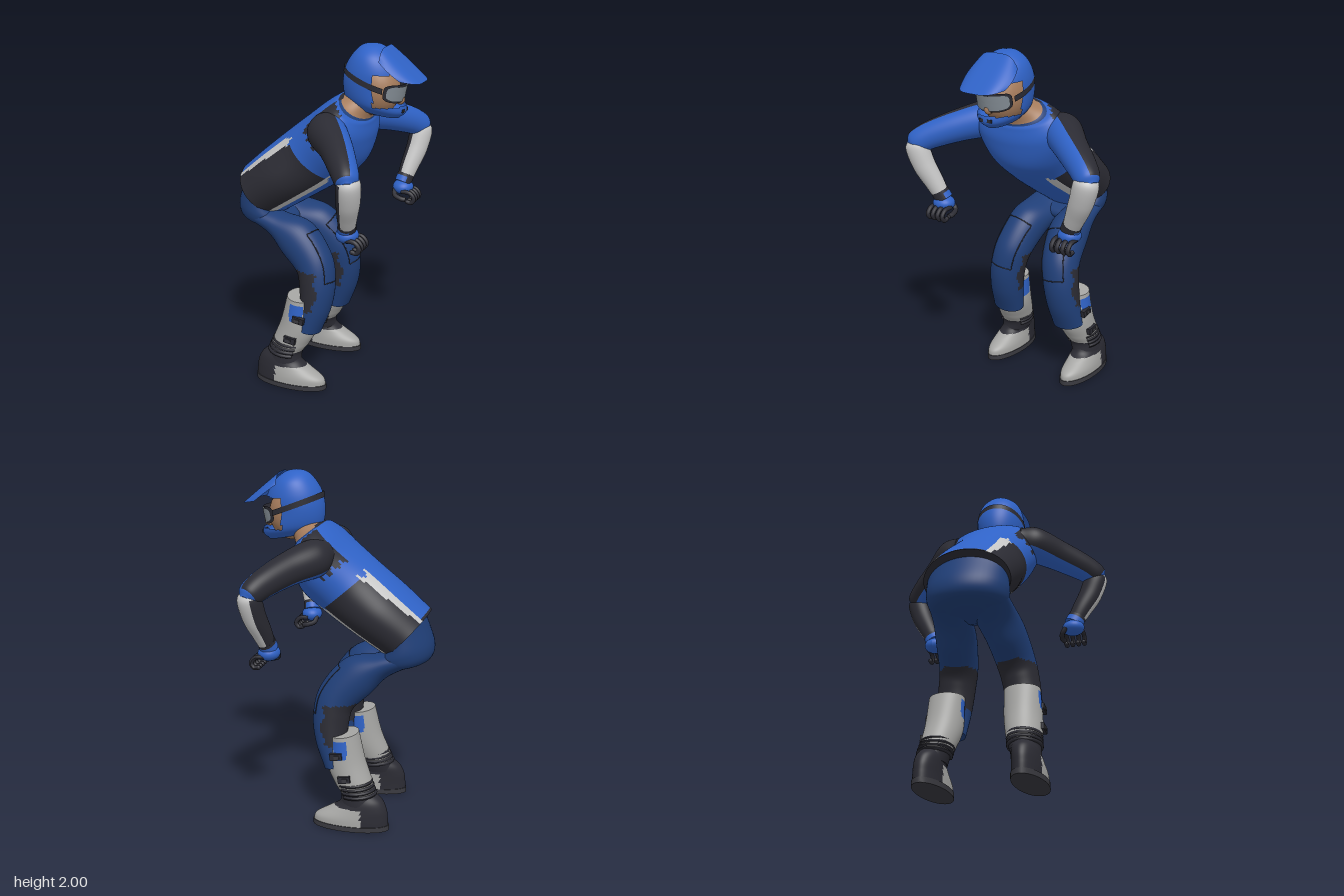
import * as THREE from 'three';

const V = (x, y, z) => new THREE.Vector3(x, y, z);
const PALETTE = {
  blue: 0x2f62c6, navy: 0x203f78, black: 0x2b2b33, lightGrey: 0xc6c6c6, bootGrey: 0xa6a6a4,
  lensGrey: 0x858e96, skin: 0xa67c5c, soleGrey: 0x3a3a40,
};

// Sections given by their rear and front points: [rearX, rearY, frontX, frontY, halfWidth, z]
const pairs = rows => rows.map(([bx, by, fx, fy, w, z = 0]) => ({
  c: V((bx + fx) / 2, (by + fy) / 2, z), u: V((fx - bx) / 2, (fy - by) / 2, 0), v: V(0, 0, -w),
}));

// Limb sections square to the path: [x, y, z, depthRadius, widthRadius]
function limb(rows) {
  const pts = rows.map(r => V(r[0], r[1], r[2]));
  return rows.map((r, i) => {
    const t = pts[Math.min(i + 1, pts.length - 1)].clone().sub(pts[Math.max(i - 1, 0)]).normalize();
    const u = V(1, 0, 0).addScaledVector(t, -t.x).normalize();
    const v = t.clone().cross(u);
    return { c: pts[i], u: u.multiplyScalar(r[3]), v: v.multiplyScalar(r[4]) };
  });
}

// Smooth surface through sections: t counts sections, a = 0 points forward
function surface(sections) {
  const [c, u, v] = ['c', 'u', 'v'].map(k => new THREE.CatmullRomCurve3(sections.map(s => s[k]), false, 'catmullrom'));
  const n = sections.length - 1;
  return (t, a) => c.getPoint(t / n).addScaledVector(u.getPoint(t / n), Math.cos(a)).addScaledVector(v.getPoint(t / n), Math.sin(a));
}

// Loft; pick(t, a, point) gives each face a material index, or -1 for a hole
function loft(sections, { rows = 32, segs = 48, pick = () => 0, capped = true } = {}) {
  const f = surface(sections), n = sections.length - 1, pos = [], buckets = {};
  const angle = j => (j / segs) * Math.PI * 2;
  const put = (m, ...ids) => (buckets[m] ??= []).push(...ids);
  for (let i = 0; i <= rows; i++) for (let j = 0; j < segs; j++) pos.push(...f((i / rows) * n, angle(j)).toArray());
  for (let i = 0; i < rows; i++) for (let j = 0; j < segs; j++) {
    const t = ((i + 0.5) / rows) * n, a = angle(j + 0.5);
    const m = pick(t, a, f(t, a));
    if (m < 0) continue;
    const k = (j + 1) % segs, p = i * segs + j, q = i * segs + k;
    put(m, p, q, q + segs, p, q + segs, p + segs);
  }
  if (capped) for (const end of [0, n]) {
    const base = pos.length / 3, m = Math.max(0, pick(end, Math.PI / 2, f(end, Math.PI / 2)));
    for (let j = 0; j < segs; j++) pos.push(...f(end, angle(j)).toArray());
    pos.push(...sections[end].c.toArray());
    for (let j = 0; j < segs; j++) {
      const a = base + j, b = base + (j + 1) % segs;
      if (end) put(m, a, b, base + segs); else put(m, b, a, base + segs);
    }
  }
  const g = new THREE.BufferGeometry(), index = [];
  for (const m in buckets) {
    g.addGroup(index.length, buckets[m].length, +m);
    for (const id of buckets[m]) index.push(id);
  }
  g.setAttribute('position', new THREE.Float32BufferAttribute(pos, 3));
  g.setIndex(index);
  g.computeVertexNormals();
  return g;
}

function mirrored(g) {
  const m = g.clone(), p = m.attributes.position, idx = m.index.array;
  for (let i = 0; i < p.count; i++) p.setZ(i, -p.getZ(i));
  for (let i = 0; i < idx.length; i += 3) [idx[i], idx[i + 1]] = [idx[i + 1], idx[i]];
  m.computeVertexNormals();
  return m;
}

// Move each vertex of a geometry by a rule
function reshape(g, rule) {
  const p = g.attributes.position;
  for (let i = 0; i < p.count; i++) p.setXYZ(i, ...rule(p.getX(i), p.getY(i)));
  g.computeVertexNormals();
  return g;
}

export function createModel() {
  const model = new THREE.Group();
  model.name = 'crouchingRider';
  const M = {};
  for (const k in PALETTE) {
    M[k] = new THREE.MeshStandardMaterial({ color: PALETTE[k], side: THREE.DoubleSide });
    M[k].name = k;
  }
  const add = (name, g, ...mats) => {
    const mesh = new THREE.Mesh(g, mats.length > 1 ? mats : mats[0]);
    mesh.name = name;
    model.add(mesh);
  };
  const addPair = (name, g, ...mats) => {
    add(name + 'A', g, ...mats);
    add(name + 'B', mirrored(g), ...mats);
  };
  const ball = (x, y, z, rx, ry, rz) => new THREE.SphereGeometry(1, 28, 20).scale(rx, ry, rz).translate(x, y, z);
  const tube = (pts, r, closed = false) =>
    new THREE.TubeGeometry(new THREE.CatmullRomCurve3(pts, closed, 'catmullrom'), pts.length * 6, r, 8, closed);

  // Jersey with side panels, stripes, shoulder patches, collar and bare neck
  add('jersey', loft(pairs([
    [-0.52, 1.23, -0.28, 0.975, 0.25], [-0.38, 1.355, -0.1, 1.09, 0.265], [-0.23, 1.48, 0.08, 1.21, 0.245],
    [-0.1, 1.585, 0.21, 1.33, 0.272], [0.0, 1.665, 0.255, 1.47, 0.295], [0.07, 1.71, 0.255, 1.56, 0.235],
    [0.1, 1.715, 0.25, 1.595, 0.16], [0.14, 1.74, 0.29, 1.68, 0.085],
  ]), {
    rows: 84, segs: 96,
    pick: (t, a) => {
      const s = Math.abs(Math.sin(a)), c = Math.cos(a), jag = 0.12 * Math.sin(a * 23);
      const inner = c < 0 ? 0.53 + 0.02 * t : 0.53, outer = c < 0 ? 0.66 + 0.06 * t : 0.69;
      if (t > 5.5 && t < 6.2 && c < -0.75) return 1;
      if (t > 5.9) return 4;
      if (t > 5.55) return 3;
      if (t < 0.1 && c < -0.83) return 1;
      if (s > outer && t < 2.05) return 1;
      if (s > inner && s <= outer && t < 2.1 + jag) return 2;
      if (s > 0.66 && c < 0 && t > 2.85 + jag && t < 5.2 + jag) return 1;
      return 0;
    },
  }), M.blue, M.black, M.lightGrey, M.navy, M.skin);

  // Trousers: seat and two bent legs
  add('trouserSeat', loft(pairs([
    [-0.45, 0.925, -0.28, 0.89, 0.1], [-0.53, 0.965, -0.21, 0.915, 0.2], [-0.545, 1.05, -0.21, 0.955, 0.235], [-0.49, 1.2, -0.27, 0.99, 0.235],
  ])), M.navy);
  const leg = limb([
    [-0.4, 0.985, 0.12, 0.055, 0.105], [-0.27, 0.935, 0.125, 0.075, 0.115], [-0.14, 0.87, 0.145, 0.122, 0.115],
    [-0.025, 0.745, 0.17, 0.114, 0.11], [0.005, 0.63, 0.19, 0.105, 0.105], [0.0, 0.5, 0.205, 0.092, 0.102],
    [-0.035, 0.35, 0.22, 0.07, 0.098],
  ]);
  addPair('trouserLeg', loft(leg, {
    rows: 60,
    pick: (t, a, p) => (p.y < 0.72 && p.y > 0.49 && t > 2.7 && Math.cos(a) < 0.3 + 0.12 * Math.sin(p.y * 45) ? 1 : 0),
  }), M.navy, M.black);
  const legAt = surface(leg), seam = [];
  for (let i = 0; i < 32; i++) {
    const e = i % 8 / 8, k = Math.floor(i / 8);
    const [x, y] = [[e, 0], [1, e], [1 - e, 1], [0, 1 - e]][k];
    seam.push(legAt(2.25 + 1.65 * y, -0.75 + 1.5 * x));
  }
  addPair('kneePanelSeam', tube(seam, 0.003, true), M.black);

  // Boots: shaft, foot, sole, ankle ribs and buckles
  addPair('bootShaft', loft(pairs([
    [-0.29, 0.15, -0.07, 0.14, 0.08, 0.262], [-0.265, 0.22, -0.07, 0.2, 0.088, 0.25], [-0.245, 0.28, -0.03, 0.26, 0.098, 0.24],
    [-0.2, 0.4, 0.012, 0.36, 0.106, 0.226], [-0.16, 0.56, 0.0, 0.54, 0.102, 0.218],
  ]), {
    rows: 60, segs: 72,
    pick: (t, a, p) => (p.y < 0.215 ? 1 : Math.abs(p.z - 0.22) > 0.03 && p.y > 0.42 && p.y < 0.525 && p.x > -0.115 && p.x < -0.035 ? 2 : 0),
  }), M.bootGrey, M.black, M.blue);
  addPair('bootFoot', loft(pairs([
    [-0.348, 0.025, 0.088, 0.025, 0.086, 0.27], [-0.345, 0.07, 0.075, 0.065, 0.085, 0.27], [-0.338, 0.12, 0.0, 0.11, 0.08, 0.268],
    [-0.315, 0.17, -0.06, 0.145, 0.076, 0.264], [-0.27, 0.21, -0.08, 0.19, 0.07, 0.258],
  ]), { rows: 40, segs: 72, pick: (t, a, p) => (p.x < -0.2 || p.y > 0.128 ? 1 : 0) }), M.bootGrey, M.black);
  addPair('bootSole', new THREE.CylinderGeometry(1, 1, 0.03, 48).scale(0.222, 1, 0.09).translate(-0.13, 0.015, 0.27), M.soleGrey);
  for (let i = 0; i < 4; i++)
    addPair('ankleRib' + i, new THREE.TorusGeometry(1, 0.11, 8, 36, 4.5).rotateZ(Math.PI - 2.25).rotateX(Math.PI / 2).scale(0.099, 0.1, 0.089)
      .rotateZ(-0.1).translate(-0.168 + i * 0.009, 0.2 + i * 0.022, 0.252 - i * 0.003), M.black);
  for (const [x, y, z] of [[-0.055, 0.44, 0.327], [-0.105, 0.31, 0.338]]) {
    addPair('buckle', new THREE.BoxGeometry(0.07, 0.038, 0.024).rotateZ(-0.15).translate(x, y, z), M.black);
    addPair('buckleClip', new THREE.BoxGeometry(0.03, 0.02, 0.008).rotateZ(-0.15).translate(x - 0.005, y, z + 0.013), M.soleGrey);
  }

  // Sleeves
  addPair('upperSleeve', loft(limb([
    [0.04, 1.56, 0.17, 0.07, 0.08], [0.09, 1.55, 0.25, 0.106, 0.104], [0.2, 1.51, 0.38, 0.09, 0.092],
    [0.295, 1.455, 0.51, 0.076, 0.08], [0.345, 1.41, 0.58, 0.064, 0.068], [0.357, 1.385, 0.605, 0.035, 0.038],
  ]), { rows: 48, pick: (t, a) => (t < 4.3 && Math.cos(a) < 0.5 && Math.sin(a) > -0.55 ? 1 : 0) }), M.blue, M.black);
  addPair('forearmSleeve', loft(limb([
    [0.348, 1.435, 0.575, 0.035, 0.04], [0.35, 1.39, 0.572, 0.064, 0.069], [0.335, 1.28, 0.535, 0.063, 0.068],
    [0.31, 1.18, 0.485, 0.054, 0.058], [0.293, 1.1, 0.445, 0.043, 0.048],
  ]), { rows: 40, pick: (t, a) => (Math.cos(a) < -0.35 && t > 0.8 ? 1 : 0) }), M.lightGrey, M.black);

  // Gloves with curled fingers
  addPair('gloveCuff', loft(limb([[0.298, 1.13, 0.459, 0.049, 0.054], [0.288, 1.085, 0.437, 0.05, 0.056]]), {
    rows: 8, pick: (t, a) => (t > 0.45 && Math.cos(a) < 0.6 ? 1 : 0),
  }), M.black, M.blue);
  addPair('glove', ball(0.29, 1.06, 0.435, 0.062, 0.045, 0.066), M.blue);
  for (let i = 0; i < 4; i++) {
    const z = 0.378 + i * 0.035;
    addPair('finger' + i, tube([V(0.3, 1.045, z), V(0.352, 1.04, z), V(0.378, 1.008, z), V(0.362, 0.982, z), V(0.338, 0.985, z)], 0.013), M.black);
    addPair('fingertip' + i, ball(0.337, 0.985, z, 0.013, 0.013, 0.013), M.black);
  }
  addPair('thumb', tube([V(0.25, 1.05, 0.4), V(0.26, 1.02, 0.375), V(0.3, 1.005, 0.365), V(0.33, 1.0, 0.37)], 0.015), M.black);

  // Head inside an open-faced helmet
  add('face', ball(0.275, 1.755, 0, 0.135, 0.15, 0.118), M.skin);
  add('nose', ball(0.412, 1.705, 0, 0.028, 0.028, 0.022), M.skin);
  add('neck', loft(limb([[0.17, 1.62, 0, 0.08, 0.1], [0.25, 1.74, 0, 0.08, 0.085]])), M.skin);
  add('helmet', loft(pairs([
    [0.12, 1.665, 0.41, 1.605, 0.085], [0.095, 1.72, 0.447, 1.645, 0.128], [0.09, 1.8, 0.425, 1.75, 0.143],
    [0.108, 1.88, 0.42, 1.85, 0.143], [0.148, 1.945, 0.375, 1.935, 0.117], [0.195, 1.988, 0.315, 1.985, 0.06],
    [0.252, 2.0, 0.256, 2.0, 0.002],
  ]), {
    rows: 72, segs: 72, capped: false,
    pick: (t, a, p) => (p.x > 0.305 && p.y > 1.675 && p.y < 1.85 ? -1 : 0),
  }), M.blue);
  add('chinVent', new THREE.BoxGeometry(0.01, 0.018, 0.08).translate(0.441, 1.65, 0), M.black);

  // Goggles: rounded shields wrapped round the face, and a strap
  const shield = (r, h, spread) => reshape(new THREE.RingGeometry(0.01, 1, 40, 8), (x, y) => {
    const k = 1 / Math.pow(x ** 4 + y ** 4, 0.25) * Math.hypot(x, y);
    const a = x * k * spread;
    return [r * Math.cos(a), y * k * h, -0.93 * r * Math.sin(a)];
  }).rotateZ(-0.2).translate(0.302, 1.77, 0);
  add('goggleFrame', shield(0.134, 0.052, 1.15), M.black);
  add('goggleLens', shield(0.141, 0.043, 1.02), M.lensGrey);
  add('goggleStrap', loft(pairs([[0.093, 1.85, 0.445, 1.72, 0.149], [0.098, 1.882, 0.445, 1.752, 0.149]]), {
    rows: 2, segs: 72, capped: false, pick: (t, a, p) => (p.x > 0.36 ? -1 : 0),
  }), M.black);

  // Sun peak: a sheet arched across, sloping forward with swept-back front corners
  add('helmetPeak', reshape(new THREE.PlaneGeometry(1, 2, 12, 28), (x, q) => {
    const s = x + 0.5, q4 = q ** 4;
    return [0.335 + 0.212 * s * (1 - 0.42 * q4), 1.99 - 0.177 * s - 0.065 * q4 * (1 - 0.75 * s) + 0.035 * s * q4, -q * (0.132 + 0.07 * s - 0.062 * s * s)];
  }), M.blue);
  return model;
}
